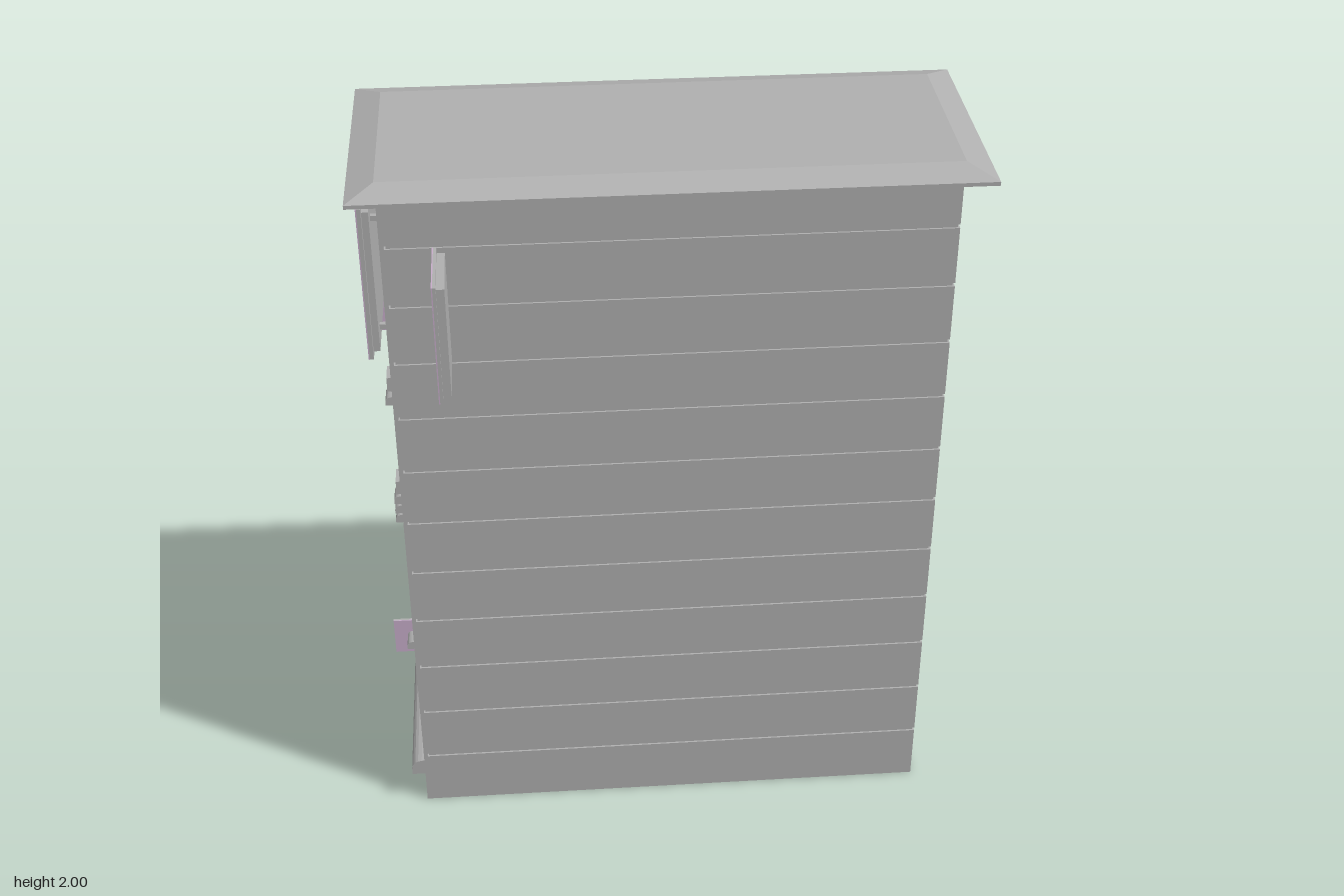
import * as THREE from 'three';

export function createModel() {
  const model = new THREE.Group();
  const mat = (name, color, side = THREE.FrontSide) => {
    const m = new THREE.MeshStandardMaterial({ color, side });
    m.name = name;
    return m;
  };
  const wall = mat('concrete grey', 0xb0b0b0, THREE.DoubleSide);
  const mauve = mat('pale mauve', 0xc8aecb);

  const add = (name, geo, material, parent = model) => {
    const mesh = new THREE.Mesh(geo, material);
    mesh.name = name;
    parent.add(mesh);
    return mesh;
  };
  // Box given by its lowest and highest corners
  const box = (name, a, b, material = wall, parent = model) => {
    const g = new THREE.BoxGeometry(b[0] - a[0], b[1] - a[1], b[2] - a[2]);
    g.translate((a[0] + b[0]) / 2, (a[1] + b[1]) / 2, (a[2] + b[2]) / 2);
    return add(name, g, material, parent);
  };

  // Flat-shaded skin through rectangular rings [x0, x1, z0, z1, y], bottom to top
  const loft = (rings, capTop, capBottom) => {
    const pos = [];
    const corners = ([x0, x1, z0, z1, y]) => [[x0, y, z1], [x1, y, z1], [x1, y, z0], [x0, y, z0]];
    const quad = (a, b, c, d) => pos.push(...a, ...b, ...c, ...a, ...c, ...d);
    for (let i = 0; i + 1 < rings.length; i++) {
      const lo = corners(rings[i]), hi = corners(rings[i + 1]);
      for (let k = 0; k < 4; k++) quad(lo[k], lo[(k + 1) % 4], hi[(k + 1) % 4], hi[k]);
    }
    if (capTop) quad(...corners(rings[rings.length - 1]));
    if (capBottom) quad(...corners(rings[0]).reverse());
    const g = new THREE.BufferGeometry();
    g.setAttribute('position', new THREE.Float32BufferAttribute(pos, 3));
    g.computeVertexNormals();
    return g;
  };

  // Hollow tower, open below, with a shallow groove at every storey
  const PITCH = 0.165, FIRST = 0.17, LINES = 11;
  const ring = (y, d) => [-0.7 + d, 0.72 - d, -0.33 + d, 0.17 - d, y];
  const rings = [ring(0, 0)];
  for (let i = 0; i < LINES; i++) {
    const y = FIRST + i * PITCH;
    rings.push(ring(y - 0.005, 0), ring(y - 0.005, 0.005), ring(y + 0.005, 0.005), ring(y + 0.005, 0));
  }
  rings.push(ring(1.97, 0));
  add('towerWalls', loft(rings), wall);

  // Overhanging roof with bevelled edges
  add('roof', loft([
    [-0.78, 0.79, -0.42, 0.25, 1.968], [-0.78, 0.79, -0.42, 0.25, 1.978],
    [-0.71, 0.72, -0.345, 0.175, 2.0],
  ], true, true), wall);

  // Street facade on the narrow side: frames around recessed panels
  const facade = new THREE.Group();
  facade.name = 'streetFacade';
  model.add(facade);
  const F = -0.71, B = -0.699;
  for (const [z0, z1] of [[-0.33, -0.315], [0.155, 0.17]])
    box('facadePost', [F, 0, z0], [B, 1.97, z1], wall, facade);
  for (let i = 0; i < LINES; i++) {
    const y = FIRST + i * PITCH;
    box('sillBand', [F, y + 0.005, -0.315], [B, y + 0.02, 0.155], wall, facade);
    box('headBand', [F, y - 0.02, -0.315], [B, y - 0.005, 0.155], wall, facade);
    const z = i % 2 ? 0.08 : -0.25;
    box('windowMullion', [F, y + 0.02, z], [B, y + PITCH - 0.02, z + 0.015], wall, facade);
  }

  // Ground-floor shop front
  for (const [z0, z1] of [[-0.31, -0.09], [-0.07, 0.15]])
    box('shopPanel', [-0.706, 0.01, z0], [-0.699, 0.145, z1], mauve, facade);
  box('shopPost', [F, 0, -0.09], [B, 0.15, -0.07], wall, facade);

  // Quarter-round hoods bulging out of the facade
  const hood = (name, y, h, out, z, width) => {
    const s = new THREE.Shape();
    s.moveTo(0, 0);
    s.lineTo(-out, 0);
    s.lineTo(-out, h * 0.4);
    s.quadraticCurveTo(-out, h, 0, h);
    const g = new THREE.ExtrudeGeometry(s, { depth: width, bevelEnabled: false, curveSegments: 6 });
    g.translate(F + 0.005, y, z - width / 2);
    add(name, g, wall, facade);
  };
  hood('shopAwning', 0.1, 0.05, 0.042, -0.08, 0.5);

  // Small wall units and vents, stacked at either end of the facade
  const ends = [
    { z: 0.125, units: [1.42, 1.1], vents: [1.365, 1.055, 1.025, 0.995, 0.56] },
    { z: -0.285, units: [1.26, 1.17, 0.85, 0.77, 0.45], vents: [1.205, 0.88, 0.73, 0.695, 0.4, 0.37] },
  ];
  for (const { z, units, vents } of ends) {
    for (const y of units) box('wallUnit', [-0.722, y - 0.02, z - 0.03], [-0.699, y + 0.02, z + 0.03], wall, facade);
    for (const y of vents) hood('vent', y - 0.01, 0.025, 0.025, z, 0.05);
  }

  // Small hanging signs, painted on the front
  for (const y of [0.18, 1.32]) {
    box('hangingSign', [-0.8, y, -0.304], [-0.725, y + 0.12, -0.297], wall);
    box('hangingSignFace', [-0.8, y, -0.297], [-0.725, y + 0.12, -0.294], mauve);
    for (const dy of [0.03, 0.09])
      box('hangingSignArm', [-0.726, y + dy - 0.004, -0.303], [-0.7, y + dy + 0.004, -0.295]);
  }

  // Billboard facing +z, local origin at the wall: arms, backing box, board, painted face
  const billboard = (name, w, h) => {
    const g = new THREE.Group();
    g.name = name;
    model.add(g);
    const x = w / 2, y = h / 2;
    box('backing', [-x + 0.015, -y + 0.015, 0.025], [x - 0.015, y - 0.015, 0.042], wall, g);
    box('board', [-x, -y, 0.042], [x, y, 0.052], wall, g);
    box('face', [-x, -y, 0.052], [x, y, 0.055], mauve, g);
    for (const sx of [-1, 1]) for (const sy of [-1, 1]) {
      const ax = sx * x * 0.7, ay = sy * y * 0.73;
      box('arm', [ax - 0.007, ay - 0.007, -0.005], [ax + 0.007, ay + 0.007, 0.026], wall, g);
    }
    return g;
  };
  const back = billboard('backBillboard', 0.76, 0.42);
  back.position.set(-0.27, 1.695, -0.335);
  back.rotation.y = Math.PI;
  const side = billboard('sideBillboard', 0.47, 0.42);
  side.position.set(-0.706, 1.71, -0.075);
  side.rotation.y = -Math.PI / 2;

  // Blade sign standing out from the front wall
  box('bladeBacking', [-0.57, 1.53, 0.225], [-0.55, 1.83, 0.405]);
  box('bladeBoard', [-0.578, 1.52, 0.215], [-0.57, 1.84, 0.415]);
  box('bladeFace', [-0.581, 1.52, 0.215], [-0.578, 1.84, 0.415], mauve);
  for (const y of [1.59, 1.75]) box('bladeArm', [-0.572, y - 0.007, 0.16], [-0.556, y + 0.007, 0.23]);

  return model;
}
